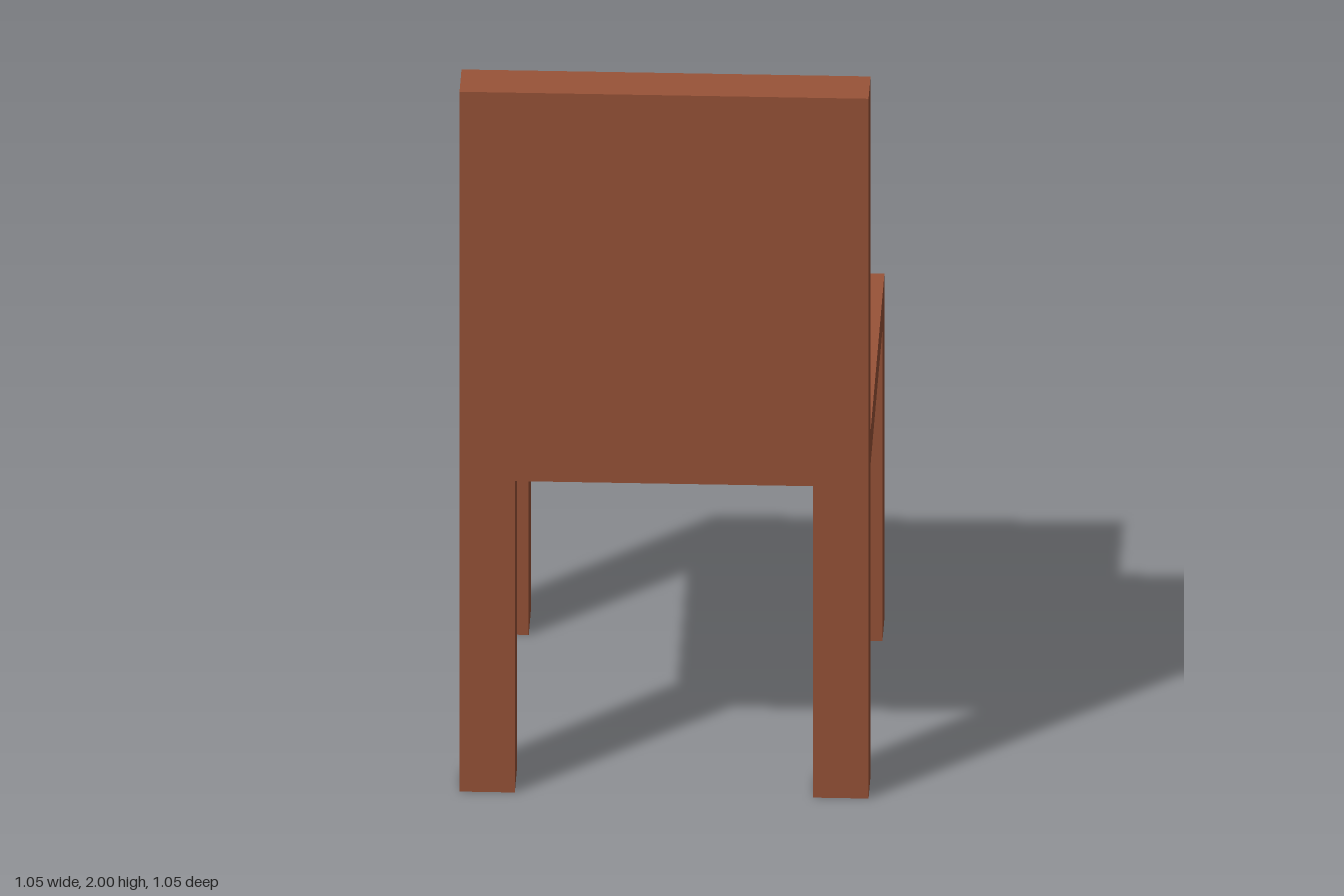
import * as THREE from 'three';
import { ConvexGeometry } from 'three/addons/geometries/ConvexGeometry.js';

const wood = new THREE.MeshStandardMaterial({ color: 0x995338, flatShading: true });
const fabric = new THREE.MeshStandardMaterial({ color: 0xe0ae80, flatShading: true });

// Box given by its minimum and maximum corners
function box(name, [x0, y0, z0], [x1, y1, z1]) {
  const geometry = new THREE.BoxGeometry(x1 - x0, y1 - y0, z1 - z0);
  geometry.translate((x0 + x1) / 2, (y0 + y1) / 2, (z0 + z1) / 2);
  const mesh = new THREE.Mesh(geometry, wood);
  mesh.name = name;
  return mesh;
}

// Faceted pad rising along +y from y = 0: one quadrant's points, mirrored in x and z
function pad(name, quadrant) {
  const points = [];
  for (const sx of [-1, 1]) {
    for (const sz of [-1, 1]) {
      for (const [x, y, z] of quadrant) points.push(new THREE.Vector3(sx * x, y, sz * z));
    }
  }
  const mesh = new THREE.Mesh(new ConvexGeometry(points), fabric);
  mesh.name = name;
  return mesh;
}

export function createModel() {
  const chair = new THREE.Group();
  chair.name = 'chair';

  const W = 0.525, IN = 0.383, BACK = 0.395, UNDER = 0.89, SEAT = 0.985;

  // Back panel with its two legs, cut from one board
  const outline = [[-W, 0], [-IN, 0], [-IN, UNDER], [IN, UNDER], [IN, 0], [W, 0], [W, 2], [-W, 2]];
  const shape = new THREE.Shape(outline.map(([x, y]) => new THREE.Vector2(x, y)));
  const back = new THREE.Mesh(
    new THREE.ExtrudeGeometry(shape, { depth: W - BACK, bevelEnabled: false }), wood);
  back.name = 'backrestWithRearLegs';
  back.position.z = BACK;
  chair.add(back);

  // Seat slab and the two free-standing legs
  chair.add(box('seat', [-W, UNDER, -W], [W, SEAT, BACK]));
  chair.add(box('rightLeg', [-W, 0, -W], [-IN, UNDER, -0.392]));
  chair.add(box('leftLeg', [IN, 0, -W], [W, UNDER, -0.392]));

  // Seat cushion: every edge arches up from flat corners
  const seatPad = pad('seatCushion', [
    [0.38, 0, 0.39],
    [0.38, 0.036, 0.25], [0.24, 0.036, 0.39],
    [0.38, 0.056, 0.13], [0.12, 0.056, 0.39],
  ]);
  seatPad.position.set(0, SEAT, 0.005);
  chair.add(seatPad);

  // Back cushion: same idea with tighter corners, turned to face away from the panel
  const backPad = pad('backCushion', [
    [0.38, 0, 0.397],
    [0.38, 0.052, 0.36], [0.38, 0.07, 0.318],
    [0.22, 0.07, 0.382], [0.05, 0.07, 0.397],
  ]);
  backPad.rotation.x = -Math.PI / 2;
  backPad.position.set(0, 1.523, BACK);
  chair.add(backPad);

  return chair;
}
